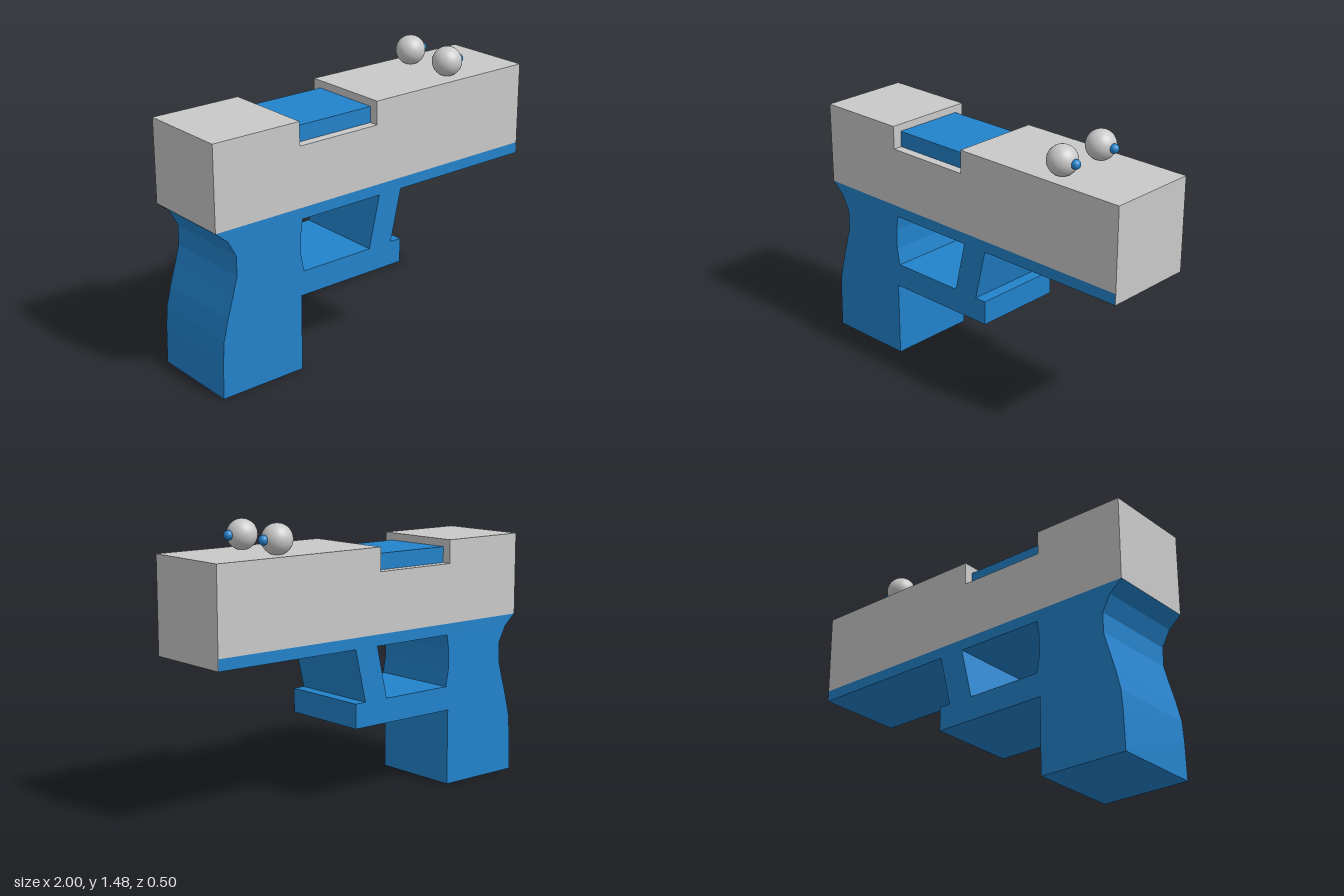
import * as THREE from 'three';

const grey = new THREE.MeshStandardMaterial({ color: 0xc9c9c9 });
grey.name = 'light grey';
const blue = new THREE.MeshStandardMaterial({ color: 0x2282cb });
blue.name = 'blue';

const DEPTH = 0.5;
const points = (list) => list.map(([x, y]) => new THREE.Vector2(x, y));

// Side profile extruded evenly about z = 0
function extrude(outline, holes = []) {
  const shape = new THREE.Shape(points(outline));
  shape.holes = holes.map((h) => new THREE.Path(points(h)));
  const geometry = new THREE.ExtrudeGeometry(shape, { depth: DEPTH, bevelEnabled: false });
  return geometry.translate(0, 0, -DEPTH / 2);
}

export function createModel() {
  const model = new THREE.Group();
  model.name = 'toyBlaster';

  function add(name, geometry, material, x = 0, y = 0, z = 0) {
    const mesh = new THREE.Mesh(geometry, material);
    mesh.name = name;
    mesh.position.set(x, y, z);
    model.add(mesh);
  }

  // Frame: rail, curved grip and guard with its opening
  const frame = [
    [-1, 0.88], [-0.93, 0.82], [-0.885, 0.735], [-0.885, 0.63], [-0.91, 0.54],
    [-0.945, 0.42], [-0.972, 0.31], [-0.98, 0.2], [-0.985, 0],
    [-0.497, 0], [-0.497, 0.41], [0.155, 0.41], [0.155, 0.54],
    [0.09, 0.54], [0.155, 0.82], [0.998, 0.82], [0.998, 0.88],
  ];
  const opening = [
    [-0.485, 0.82], [0.01, 0.82], [-0.055, 0.54], [-0.48, 0.54], [-0.497, 0.63], [-0.497, 0.74],
  ];
  add('frame', extrude(frame, [opening]), blue);

  // Slide with a notch in its top
  const slide = [
    [-1, 0.88], [0.998, 0.88], [0.998, 1.325], [-0.01, 1.325],
    [-0.01, 1.2], [-0.497, 1.2], [-0.497, 1.325], [-1, 1.325],
  ];
  add('slide', extrude(slide), grey);

  // Grey plate covering the whole front end
  add('endPlate', new THREE.BoxGeometry(0.002, 0.505, DEPTH), grey, 0.999, 1.0725);

  // Block sitting in the notch
  add('notchBlock', new THREE.BoxGeometry(0.487, 0.085, 0.4), blue, -0.2535, 1.2425);

  // Pair of ball eyes looking towards +x
  for (const [label, z] of [['front', 0.142], ['back', -0.142]]) {
    add(label + 'Eye', new THREE.SphereGeometry(0.079, 32, 16), grey, 0.564, 1.398, z);
    add(label + 'Pupil', new THREE.SphereGeometry(0.025, 32, 16), blue, 0.647, 1.398, z);
  }

  return model;
}
